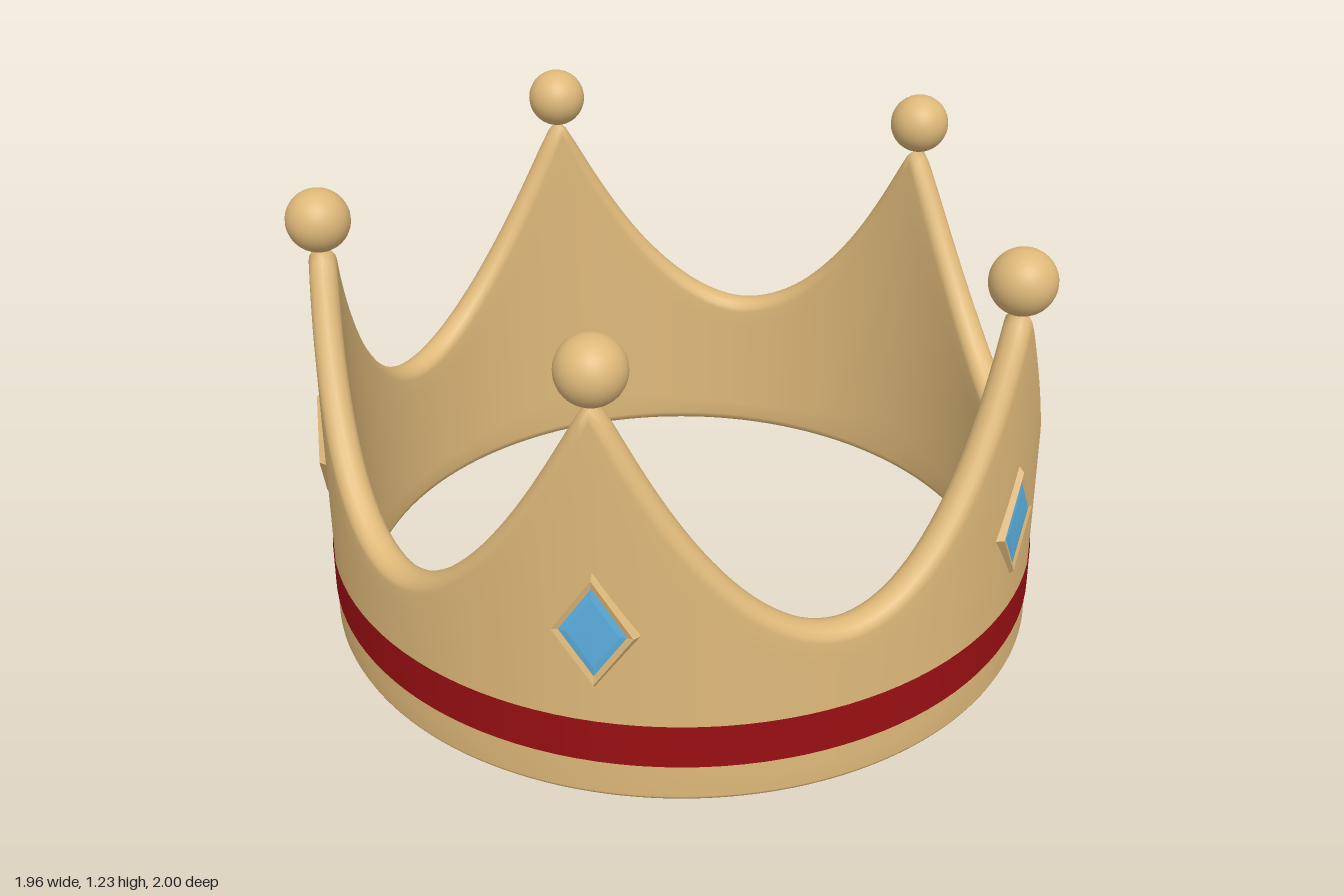
import * as THREE from 'three';

const PEAKS = 5;
const STEP = (Math.PI * 2) / PEAKS;
const CENTRE_Z = -0.018;

const gold = new THREE.MeshStandardMaterial({ color: 0xdeb879 });
gold.name = 'gold';
const red = new THREE.MeshStandardMaterial({ color: 0x980f12, side: THREE.DoubleSide });
red.name = 'red';
const blue = new THREE.MeshStandardMaterial({ color: 0x5cb0e0 });
blue.name = 'blue';

function mesh(name, geometry, material) {
  const m = new THREE.Mesh(geometry, material);
  m.name = name;
  return m;
}

// Height of the rim at an angle: concave flanks, softly rounded tips
function rimHeight(angle) {
  const a = Math.abs(angle - Math.round(angle / STEP) * STEP);
  const t = Math.hypot(a / (STEP / 2), 0.04) / Math.hypot(1, 0.04);
  return 0.445 + 0.67 * Math.pow(1 - t, 1.9);
}

const outerRadius = (y) => 0.979 - 0.012 * y;
const innerRadius = (y) => 0.884 + 0.01 * y;

// Closed cross-section of the wall as [radius, y] pairs
function wallSection(angle) {
  const top = rimHeight(angle);
  const e = 0.005;
  const slope = (rimHeight(angle + e) - rimHeight(angle - e)) / (2 * e * 0.93);
  const drop = 0.035 * Math.min(Math.hypot(1, slope), 2.2);
  const shoulder = top - drop;
  const points = [[0.884, 0.03], [0.893, 0.009], [0.915, 0], [0.965, 0], [0.975, 0.003], [0.979, 0.012]];
  const rows = 8;
  for (let i = 1; i <= rows; i++) {
    const y = 0.012 + ((shoulder - 0.012) * i) / rows;
    points.push([outerRadius(y), y]);
  }
  const ro = outerRadius(shoulder), ri = innerRadius(shoulder);
  for (let i = 1; i <= 8; i++) {
    const a = (Math.PI * i) / 8;
    points.push([(ro + ri) / 2 + ((ro - ri) / 2) * Math.cos(a), shoulder + drop * Math.sin(a)]);
  }
  for (let i = rows - 1; i > 0; i--) {
    const y = 0.03 + ((shoulder - 0.03) * i) / rows;
    points.push([innerRadius(y), y]);
  }
  return points;
}

// Sweep the section round the circle
function wallGeometry(columns = 240) {
  const positions = [], index = [];
  let n = 0;
  for (let i = 0; i < columns; i++) {
    const a = (i / columns) * Math.PI * 2;
    const section = wallSection(a);
    n = section.length;
    for (const [r, y] of section) positions.push(r * Math.sin(a), y, r * Math.cos(a));
  }
  for (let i = 0; i < columns; i++) {
    const k = (i + 1) % columns;
    for (let j = 0; j < n; j++) {
      const l = (j + 1) % n;
      const p = i * n + j, q = k * n + j, s = k * n + l, t = i * n + l;
      index.push(p, q, s, p, s, t);
    }
  }
  const g = new THREE.BufferGeometry();
  g.setAttribute('position', new THREE.Float32BufferAttribute(positions, 3));
  g.setIndex(index);
  g.computeVertexNormals();
  return g;
}

// Four-sided diamond facing +z, from [scale, depth] pairs
function diamond(profile) {
  const points = profile.map(([r, d]) => new THREE.Vector2(r, d));
  const g = new THREE.LatheGeometry(points, 4).toNonIndexed();
  g.rotateX(Math.PI / 2);
  g.scale(0.117, 0.175, 1);
  g.computeVertexNormals();
  return g;
}

export function createModel() {
  const crown = new THREE.Group();
  crown.name = 'crown';
  crown.position.z = CENTRE_Z;

  crown.add(mesh('wall', wallGeometry(), gold));

  // Red band lying on the wall
  const band = mesh('band', new THREE.CylinderGeometry(0.979, 0.981, 0.12, 120, 1, true), red);
  band.position.y = 0.165;
  crown.add(band);

  // One ball and one framed gem for each peak
  const ballGeometry = new THREE.SphereGeometry(0.083, 32, 20);
  const frameGeometry = diamond([[1, -0.014], [0.84, 0.011], [0.7, 0.006]]);
  const gemGeometry = diamond([[0.71, 0.006], [0.55, 0.009], [0, 0.01]]);
  for (let i = 0; i < PEAKS; i++) {
    const peak = new THREE.Group();
    peak.name = 'peak' + (i + 1);
    peak.rotation.y = i * STEP;
    const ball = mesh('ball', ballGeometry, gold);
    ball.position.set(0, 1.142, 0.932);
    const frame = mesh('gemFrame', frameGeometry, gold);
    const gem = mesh('gem', gemGeometry, blue);
    for (const part of [frame, gem]) part.position.set(0, 0.483, 0.974);
    peak.add(ball, frame, gem);
    crown.add(peak);
  }

  const model = new THREE.Group();
  model.name = 'model';
  model.add(crown);
  return model;
}
